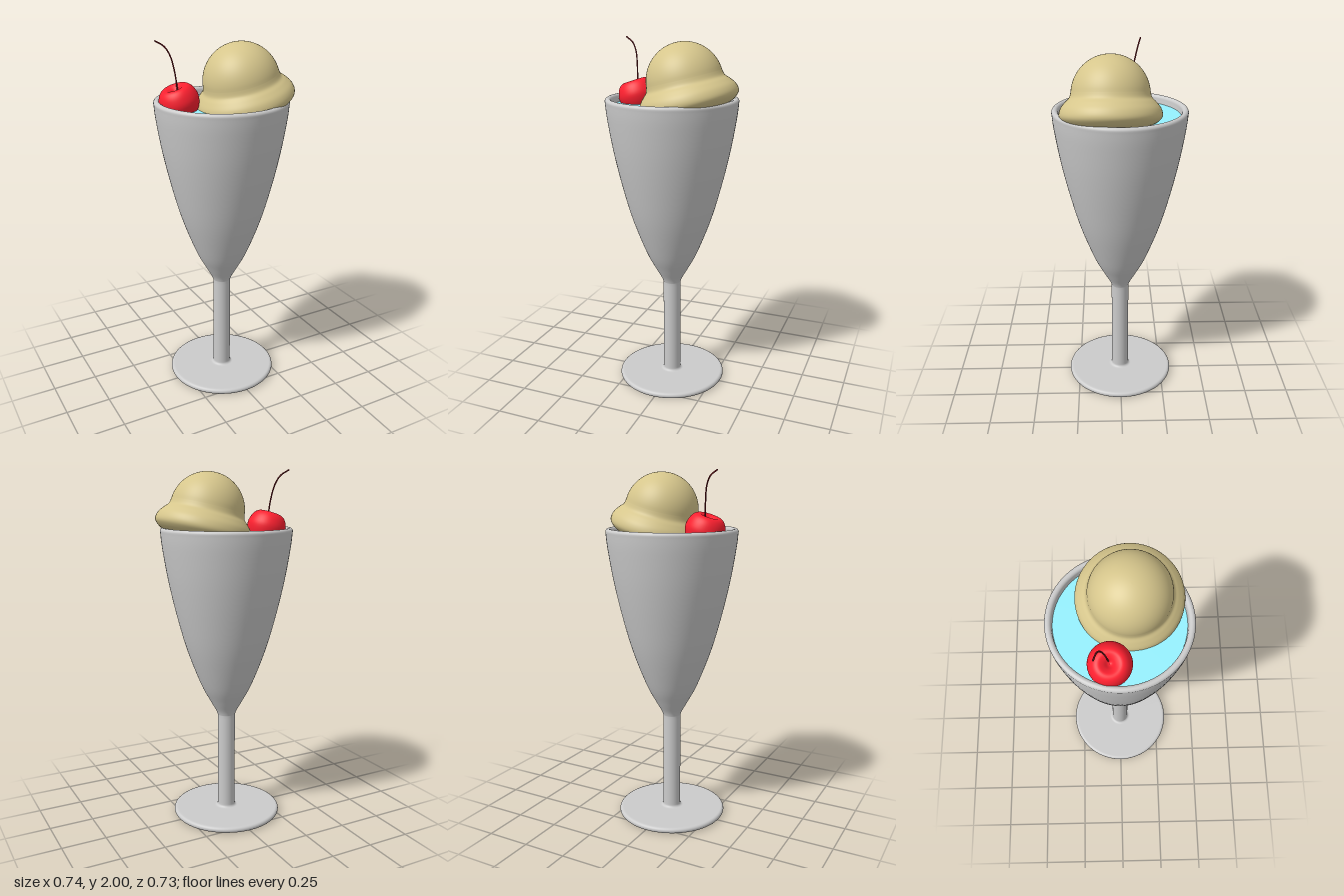
import * as THREE from 'three';

const material = (color) => new THREE.MeshStandardMaterial({ color });
const points = (list) => list.map(([x, y]) => new THREE.Vector2(x, y));
const smooth = (list, n) => new THREE.SplineCurve(points(list)).getPoints(n);

// Revolve a profile that runs from the bottom axis outward, up and back in
function revolve(name, profile, color, segments = 64) {
  const mesh = new THREE.Mesh(new THREE.LatheGeometry(profile, segments), material(color));
  mesh.name = name;
  return mesh;
}

// Rounded arc of profile points
function arc(cx, cy, r, from, to, n) {
  return Array.from({ length: n + 1 }, (_, i) => {
    const a = from + ((to - from) * i) / n;
    return new THREE.Vector2(Math.max(0, cx + r * Math.cos(a)), cy + r * Math.sin(a));
  });
}

export function createModel() {
  const model = new THREE.Group();
  model.name = 'iceCreamSundae';
  const H = Math.PI / 2;

  // Glass: foot, stem, flared bowl, rounded rim and inner wall
  const glass = new THREE.Group();
  glass.name = 'glass';
  glass.position.x = -0.008;
  const foot = [
    ...points([[0, 0.004], [0.29, 0.004], [0.295, 0.004]]),
    ...arc(0.296, 0.02, 0.016, -H, H, 10),
    ...points([[0.29, 0.036], [0.07, 0.036]]),
    ...arc(0.065, 0.051, 0.015, -H, -2 * H, 5),
    ...points([[0.05, 0.06], [0.05, 0.59]]),
  ];
  const bowl = smooth([
    [0.05, 0.61], [0.062, 0.64], [0.096, 0.7], [0.148, 0.8], [0.224, 1.0],
    [0.28, 1.2], [0.325, 1.4], [0.355, 1.58], [0.364, 1.665],
  ], 40);
  const rim = arc(0.348, 1.672, 0.017, 0, 2 * H, 10);
  const inside = smooth([
    [0.328, 1.64], [0.29, 1.4], [0.245, 1.2], [0.185, 1.0], [0.1, 0.8], [0, 0.72],
  ], 24);
  glass.add(revolve('glassBody', [...foot, ...bowl, ...rim, ...inside], 0xcccccc, 96));

  // Liquid surface
  glass.add(revolve('liquid', points([[0.331, 1.645], [0, 1.645]]), 0x96f2ff, 96));
  model.add(glass);

  // Scoop: ball with a flared skirt, tipped toward the left rim
  const skirt = smooth([
    [0, -0.075], [0.12, -0.07], [0.215, -0.047], [0.255, -0.022], [0.269, 0.004],
    [0.26, 0.04], [0.235, 0.072], [0.213, 0.095], [0.205, 0.125],
  ], 40);
  const dome = arc(0, 0.107, 0.206, 0.15, H, 24);
  const scoop = revolve('iceCreamScoop', [...skirt, ...dome], 0xd6c68c);
  scoop.position.set(0.11, 1.68, 0.05);
  scoop.rotation.z = 0.25;
  model.add(scoop);

  // Cherry with a dimpled top
  const cherry = revolve('cherry', smooth([
    [0, -0.095], [0.045, -0.088], [0.088, -0.055], [0.108, 0], [0.1, 0.045],
    [0.08, 0.076], [0.055, 0.086], [0.03, 0.074], [0.012, 0.056], [0, 0.05],
  ], 40), 0xff2030, 48);
  cherry.position.set(-0.232, 1.682, -0.052);
  cherry.rotation.z = 0.33;
  model.add(cherry);

  // Curved cherry stem
  const path = new THREE.CatmullRomCurve3([
    [-0.235, 1.71, -0.054], [-0.239, 1.76, -0.062], [-0.245, 1.84, -0.075],
    [-0.26, 1.92, -0.093], [-0.286, 1.967, -0.107], [-0.33, 1.996, -0.12],
  ].map((p) => new THREE.Vector3(...p)));
  const stem = new THREE.Mesh(new THREE.TubeGeometry(path, 40, 0.004, 8), material(0x7a1820));
  stem.name = 'cherryStem';
  model.add(stem);
  const tip = new THREE.Mesh(new THREE.SphereGeometry(0.004, 8, 6), stem.material);
  tip.name = 'cherryStemTip';
  tip.position.copy(path.getPoint(1));
  model.add(tip);

  return model;
}
